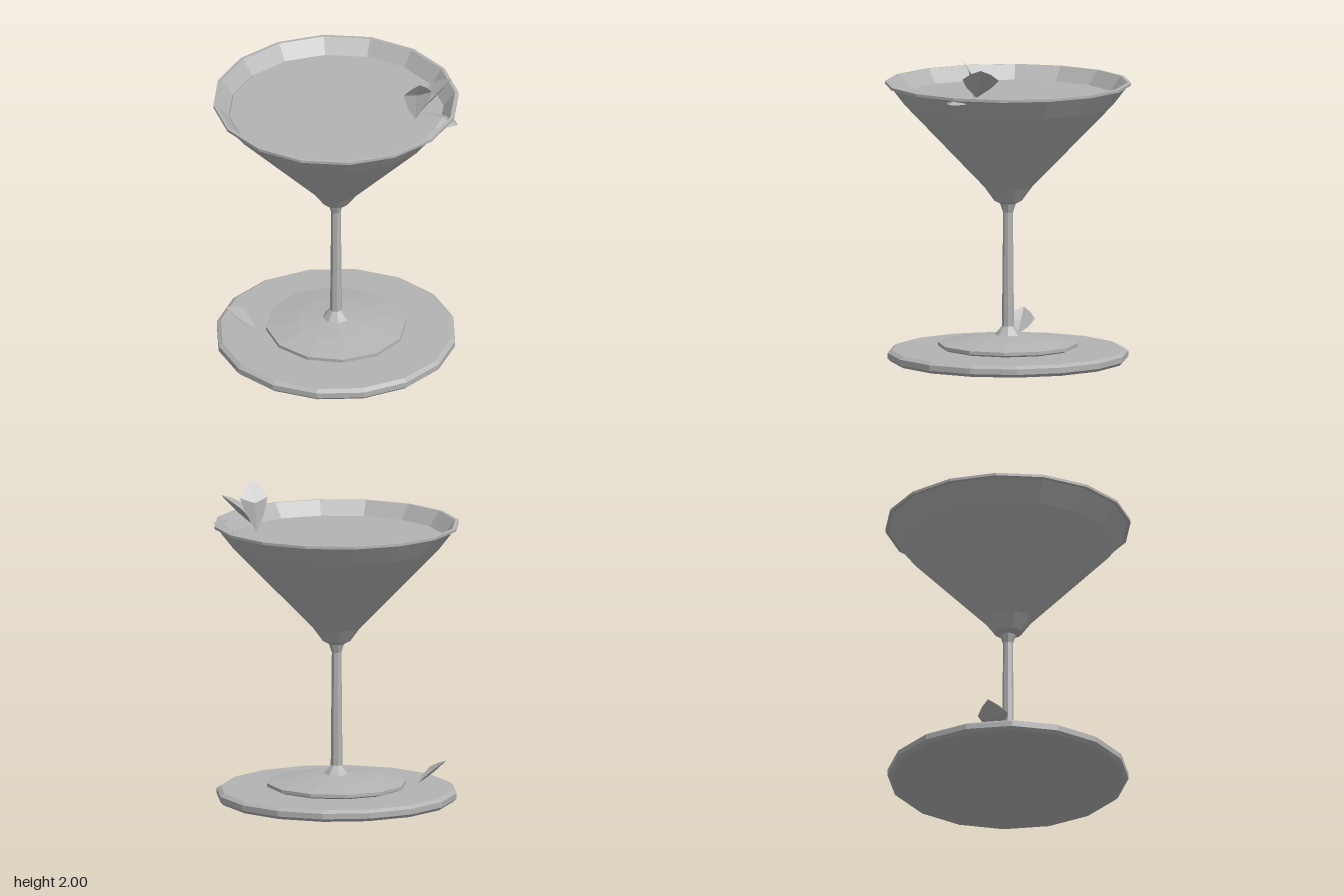
import * as THREE from 'three';

const V = (p) => new THREE.Vector3(...p);

export function createModel() {
  const model = new THREE.Group();
  model.name = 'cocktailGlass';
  const grey = new THREE.MeshStandardMaterial({ color: 0xb3b3b3, flatShading: true, side: THREE.DoubleSide });
  grey.name = 'plain grey';

  const add = (name, geometry) => {
    const mesh = new THREE.Mesh(geometry, grey);
    mesh.name = name;
    model.add(mesh);
  };
  // Faceted solid of revolution; profile runs from the bottom up the outside
  const turned = (name, sides, phase, profile) =>
    add(name, new THREE.LatheGeometry(profile.map(([r, y]) => new THREE.Vector2(r, y)), sides, phase));

  turned('coaster', 16, -0.13, [[0, 0], [0.735, 0], [0.757, 0.02], [0.757, 0.055], [0.73, 0.073], [0, 0.073]]);

  turned('foot', 12, 0.13, [[0, 0.074], [0.41, 0.08], [0.44, 0.092], [0.44, 0.113], [0.25, 0.147], [0.085, 0.165], [0, 0.165]]);

  turned('stem', 8, 0.2, [[0.087, 0.162], [0.038, 0.22], [0.031, 0.94], [0.052, 1.0]]);

  // Bowl: outer wall, rolled lip, then inner wall
  turned('bowl', 16, 0.13, [
    [0, 0.995], [0.05, 0.995], [0.088, 1.015], [0.15, 1.1], [0.656, 1.622], [0.752, 1.745],
    [0.773, 1.748], [0.773, 1.765], [0.75, 1.767], [0.69, 1.69], [0.635, 1.622], [0.12, 1.1], [0, 1.07]]);

  turned('drink', 16, 0.13, [[0.64, 1.645], [0.68, 1.672], [0.67, 1.68], [0, 1.68]]);

  // Leaf folded along its midrib: base and tip points, left and right edge points, midrib point
  const leaf = (name, base, tip, left, right, rib) => {
    const [b, t, l, r, m] = [base, tip, left, right, rib].map(V);
    const mix = (p, q, k, bulge) => p.clone().lerp(q, k).addScaledVector(
      p.clone().add(q).multiplyScalar(0.5).sub(m), bulge);
    const positions = [];
    for (const e of [l, r]) {
      const outline = [b, mix(b, e, 0.55, 0.18), e, mix(e, t, 0.5, 0.1), t];
      for (let i = 0; i < 4; i++) {
        const tri = e === l ? [m, outline[i + 1], outline[i]] : [m, outline[i], outline[i + 1]];
        tri.forEach((p) => positions.push(p.x, p.y, p.z));
      }
    }
    const geometry = new THREE.BufferGeometry();
    geometry.setAttribute('position', new THREE.Float32BufferAttribute(positions, 3));
    geometry.computeVertexNormals();
    add(name, geometry);
  };

  leaf('uprightLeaf', [0.5, 1.69, 0.11], [0.53, 2.0, 0.205], [0.43, 1.9, 0.17], [0.605, 1.9, 0.12], [0.51, 1.87, 0.12]);
  leaf('leaningLeaf', [0.53, 1.74, 0.1], [0.725, 1.94, 0.035], [0.585, 1.86, 0.18], [0.59, 1.86, -0.055], [0.62, 1.825, 0.065]);
  leaf('flatLeaf', [0.54, 1.745, 0.11], [0.77, 1.725, 0.23], [0.63, 1.725, 0.27], [0.73, 1.725, 0.13], [0.67, 1.755, 0.19]);
  leaf('fallenLeaf', [-0.51, 0.09, 0.035], [-0.69, 0.24, 0.03], [-0.585, 0.18, 0.135], [-0.585, 0.18, -0.06], [-0.61, 0.165, 0.035]);

  return model;
}
